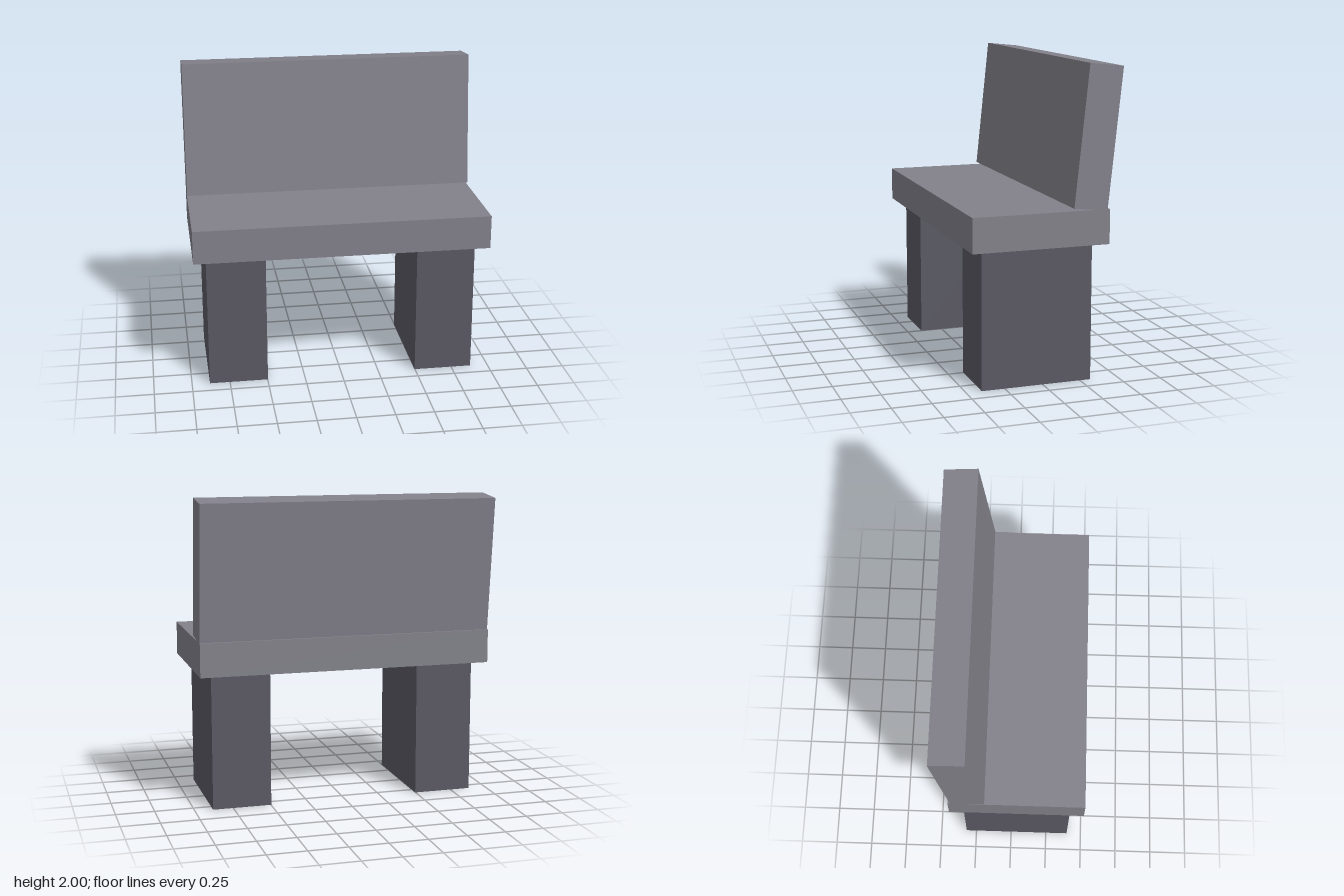
import * as THREE from 'three';

export function createModel() {
  const group = new THREE.Group();
  const slabMaterial = new THREE.MeshStandardMaterial({ color: 0x82818a });
  const legMaterial = new THREE.MeshStandardMaterial({ color: 0x5a5963 });

  function addBlock(name, size, position, material) {
    const mesh = new THREE.Mesh(new THREE.BoxGeometry(...size), material);
    mesh.name = name;
    mesh.position.set(...position);
    group.add(mesh);
    return mesh;
  }

  const length = 1.93, thickness = 0.22, seatBottom = 0.885;

  // Seat slab
  addBlock('seat', [length, thickness, 0.884], [0, seatBottom + thickness / 2, 0.04], slabMaterial);

  // Backrest, leaning back and just sinking into the rear of the seat
  const backrest = addBlock('backrest', [length, 0.885, thickness], [0, 1.549, -0.322], slabMaterial);
  backrest.rotation.x = -THREE.MathUtils.degToRad(6);

  // Block legs, mirrored
  for (const [name, side] of [['leftLeg', 1], ['rightLeg', -1]]) {
    addBlock(name, [0.385, seatBottom, 0.72], [side * 0.69, seatBottom / 2, 0.04], legMaterial);
  }

  return group;
}
